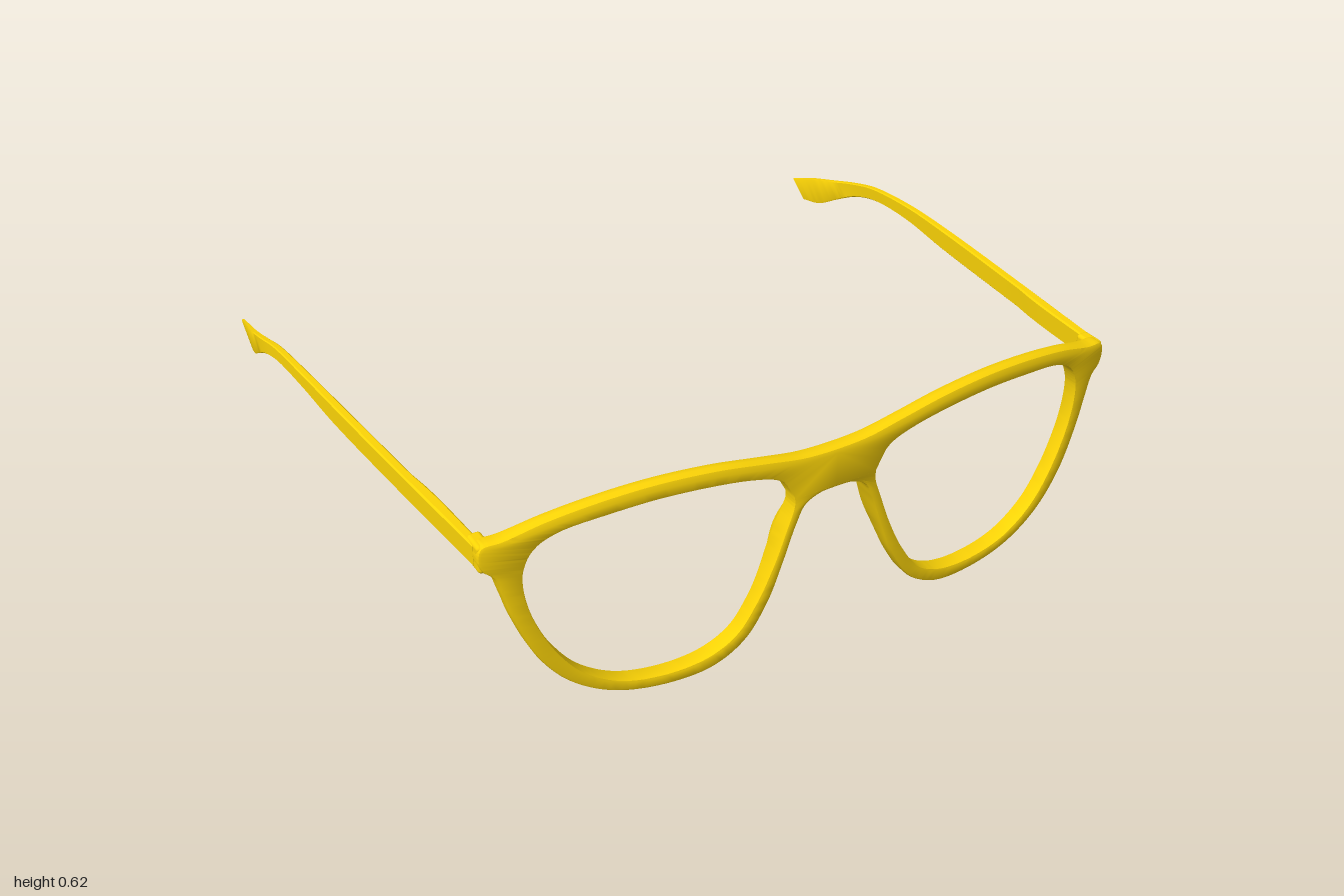
import * as THREE from 'three';
import { toCreasedNormals } from 'three/addons/utils/BufferGeometryUtils.js';
import { RoundedBoxGeometry } from 'three/addons/geometries/RoundedBoxGeometry.js';

const material = new THREE.MeshStandardMaterial({ color: 0xfcd406 });
const { smoothstep, lerp } = THREE.MathUtils;

function addMesh(parent, name, geometry) {
  const mesh = new THREE.Mesh(geometry, material);
  mesh.name = name;
  parent.add(mesh);
  return mesh;
}

function meshFrom(positions, index, crease) {
  const geometry = new THREE.BufferGeometry();
  geometry.setAttribute('position', new THREE.Float32BufferAttribute(positions, 3));
  geometry.setIndex(index);
  return toCreasedNormals(geometry, crease);
}

// Adds a triangle, turned round on the mirrored side
function addTriangle(index, side, a, b, c) {
  if (side > 0) index.push(a, b, c);
  else index.push(a, c, b);
}

// Curve through columns a, b, c of a table of stations
function curveOf(rows, a, b, c) {
  return new THREE.CatmullRomCurve3(rows.map((r) => new THREE.Vector3(r[a], r[b], r[c])));
}

// Matching points round one half: outer edge x, y and lens opening x, y
const RIM = [
  [0, 0.562, 0.135, 0.487], [0.05, 0.563, 0.15, 0.511], [0.1, 0.567, 0.175, 0.528],
  [0.2, 0.585, 0.24, 0.547], [0.33, 0.605, 0.345, 0.562], [0.48, 0.613, 0.48, 0.569],
  [0.62, 0.605, 0.61, 0.562], [0.75, 0.585, 0.71, 0.55], [0.85, 0.558, 0.76, 0.531],
  [0.897, 0.551, 0.78, 0.515], [0.908, 0.52, 0.793, 0.498], [0.9, 0.485, 0.803, 0.475],
  [0.876, 0.46, 0.809, 0.45], [0.857, 0.4, 0.808, 0.395], [0.835, 0.32, 0.79, 0.315],
  [0.78, 0.19, 0.737, 0.2], [0.7, 0.095, 0.672, 0.119], [0.59, 0.035, 0.575, 0.063],
  [0.45, 0.012, 0.45, 0.045], [0.34, 0.022, 0.35, 0.058], [0.255, 0.07, 0.278, 0.097],
  [0.19, 0.165, 0.222, 0.175], [0.145, 0.28, 0.175, 0.273], [0.11, 0.38, 0.138, 0.375],
  [0.085, 0.428, 0.124, 0.415], [0.045, 0.447, 0.119, 0.437], [0, 0.45, 0.12, 0.458],
];

// Rim section: [0 outer or 1 opening, inset, distance from the face, 0 back or 1 front],
// with inset and distance in units of the edge radius
const SECTION = [
  [0, 1, 0, 0], [0, 0.3, 0.3, 0], [0, 0, 1, 0], [0, 0, 1, 1], [0, 0.3, 0.3, 1], [0, 1, 0, 1],
  [1, 1, 0, 1], [1, 0.3, 0.3, 1], [1, 0, 1, 1], [1, 0, 1, 0], [1, 0.3, 0.3, 0], [1, 1, 0, 0],
];

// One-piece front: rims, brow, bridge and nose pads, wrapped gently around the face
function frontFrame() {
  const outer = curveOf(RIM, 0, 1, 1), opening = curveOf(RIM, 2, 3, 3);
  const steps = 208, n = SECTION.length, depth = 0.046;
  const positions = [], index = [];

  for (const side of [1, -1]) {
    const base = positions.length / 3;
    for (let i = 0; i <= steps; i++) {
      const t = i / steps;
      const edges = [outer, opening].map((curve) => {
        const p = curve.getPoint(t), d = curve.getTangent(t);
        return { p, normal: new THREE.Vector2(d.y, -d.x).normalize() };
      });
      const o = edges[0].p;
      const browRadius = lerp(0.007, 0.018, smoothstep(o.y, 0.53, 0.59));
      // Nose pads swell out of the back of the rim
      const pad = o.x < 0.3 ? 0.034 * smoothstep(o.x, 0.02, 0.1) * Math.exp(-(((o.y - 0.33) / 0.1) ** 2)) : 0;
      for (const [edge, inset, drop, front] of SECTION) {
        const { p, normal } = edges[edge];
        const radius = edge ? 0.005 : browRadius;
        const shift = inset * radius * (edge ? -1 : 1);
        const onSeam = edge === 0 && (i === 0 || i === steps);
        const x = onSeam ? 0 : p.x + normal.x * shift;
        const y = p.y + normal.y * shift;
        const z = front ? depth - drop * radius : drop * radius - pad * (edge ? 0.35 : 1);
        positions.push(side * x, y, 0.797 + z - 0.1 * x * x);
      }
    }
    for (let i = 0; i <= steps; i++) {
      const next = (i + 1) % (steps + 1);
      for (let j = 0; j < n; j++) {
        // The two halves meet openly at the middle of the bridge
        if (i === steps && j < 5) continue;
        const k = (j + 1) % n;
        const a = base + i * n + j, b = base + i * n + k;
        const c = base + next * n + j, d = base + next * n + k;
        addTriangle(index, side, a, b, c);
        addTriangle(index, side, b, d, c);
      }
    }
  }
  return meshFrom(positions, index, 0.6);
}

// Temple lofted from chamfered rectangles: [z bottom, z top, outer x, y bottom, y top, thickness]
const TEMPLE = [
  [0.73, 0.73, 0.908, 0.484, 0.546, 0.025],
  [0.4, 0.4, 0.94, 0.484, 0.546, 0.025],
  [0, 0, 0.975, 0.486, 0.546, 0.023],
  [-0.2, -0.2, 0.989, 0.496, 0.541, 0.021],
  [-0.38, -0.4, 0.997, 0.486, 0.522, 0.019],
  [-0.49, -0.52, 0.999, 0.456, 0.492, 0.017],
  [-0.59, -0.63, 0.994, 0.408, 0.459, 0.015],
  [-0.69, -0.74, 0.984, 0.356, 0.427, 0.012],
  [-0.765, -0.832, 0.972, 0.343, 0.395, 0.009],
];

function templeGeometry(side) {
  const lower = curveOf(TEMPLE, 2, 3, 0), upper = curveOf(TEMPLE, 2, 4, 1);
  const thickness = curveOf(TEMPLE, 5, 5, 5);
  const ring = [[0, 0.06], [0.16, 0], [0.84, 0], [1, 0.06], [1, 0.94], [0.84, 1], [0.16, 1], [0, 0.94]];
  const n = ring.length, steps = 48, end = steps * n;
  const positions = [], index = [];
  for (let i = 0; i <= steps; i++) {
    const lo = lower.getPoint(i / steps), hi = upper.getPoint(i / steps);
    const t = thickness.getPoint(i / steps).x;
    for (const [u, v] of ring) {
      const p = lo.clone().lerp(hi, v);
      positions.push(side * (p.x - t * (1 - u)), p.y, p.z);
    }
  }
  for (let i = 0; i < steps; i++) {
    for (let j = 0; j < n; j++) {
      const a = i * n + j, b = i * n + ((j + 1) % n);
      addTriangle(index, side, a, a + n, b);
      addTriangle(index, side, b, a + n, b + n);
    }
  }
  // Flat end caps
  for (let j = 1; j < n - 1; j++) {
    addTriangle(index, side, 0, j, j + 1);
    addTriangle(index, side, end, end + j + 1, end + j);
  }
  return meshFrom(positions, index, 0.6);
}

export function createModel() {
  const glasses = new THREE.Group();
  glasses.name = 'glasses';
  addMesh(glasses, 'frontFrame', frontFrame());

  for (const side of [1, -1]) {
    const label = side > 0 ? 'left' : 'right';
    addMesh(glasses, label + 'Temple', templeGeometry(side));

    // Corner block joining the front to the temple
    const hinge = addMesh(glasses, label + 'Hinge', new RoundedBoxGeometry(0.036, 0.076, 0.066, 3, 0.01));
    hinge.position.set(side * 0.889, 0.514, 0.724);
  }

  // Resting with a slight turn and lean
  glasses.rotation.set(0, -0.013, 0.017);
  glasses.position.y = -0.003;
  const model = new THREE.Group();
  model.add(glasses);
  return model;
}
